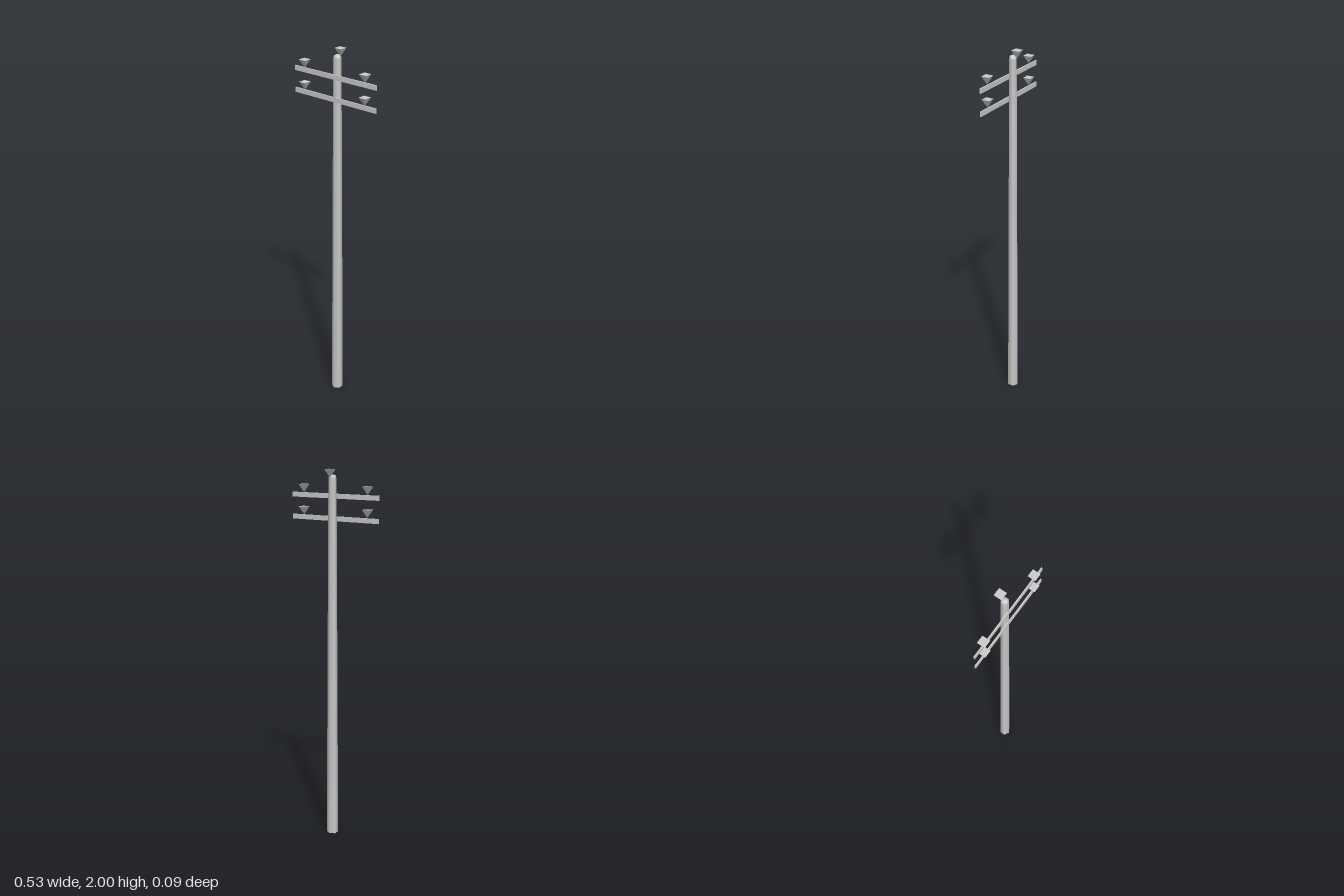
import * as THREE from 'three';

export function createModel() {
  const model = new THREE.Group();
  model.name = 'utilityPole';
  const smooth = new THREE.MeshStandardMaterial({ color: 0xcccccc });
  const flat = new THREE.MeshStandardMaterial({ color: 0xcccccc, flatShading: true });

  function add(name, geometry, material, x, y, z) {
    const mesh = new THREE.Mesh(geometry, material);
    mesh.name = name;
    mesh.position.set(x, y, z);
    model.add(mesh);
  }

  // Tapered six-sided pole with a softly rounded top
  const profile = [[0.032, 0], [0.021, 1.953], [0.018, 1.965], [0.011, 1.971], [0, 1.973]]
    .map(([r, y]) => new THREE.Vector2(r, y));
  add('pole', new THREE.LatheGeometry(profile, 6), smooth, 0, 0, -0.001);

  // Flat underside of the pole
  const base = new THREE.CircleGeometry(0.032, 6, Math.PI / 2).rotateX(Math.PI / 2);
  add('poleBase', base, flat, 0, 0, -0.001);

  // Insulators are upside-down square pyramids, placed by their tip
  const size = 0.042;
  const insulator = new THREE.ConeGeometry(size / Math.SQRT2, size, 4)
    .rotateY(Math.PI / 4)
    .rotateX(Math.PI)
    .translate(0, size / 2, 0);
  add('topInsulator', insulator, flat, 0, 2 - size, -0.0245);

  // Two crossarms on the front, each with a pair of insulators
  const armHeight = 0.025;
  const arm = new THREE.BoxGeometry(0.526, armHeight, 0.007);
  for (const [level, top] of [['upper', 1.875], ['lower', 1.76]]) {
    add(level + 'Crossarm', arm, flat, 0, top - armHeight / 2, 0.0197);
    for (const [side, x] of [['Left', 0.194], ['Right', -0.195]]) {
      add(level + side + 'Insulator', insulator, flat, x, top, 0.023);
    }
  }
  return model;
}
